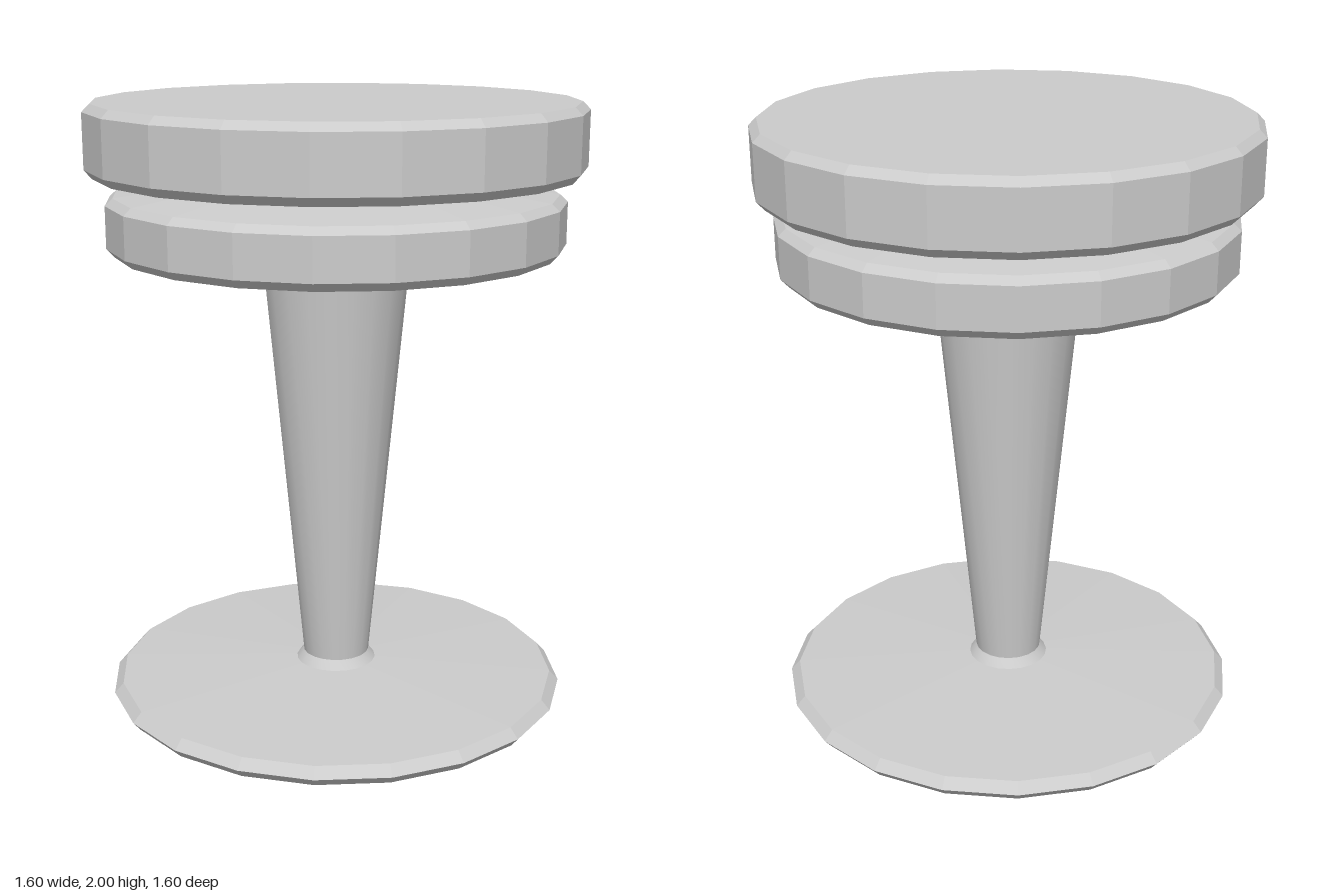
import * as THREE from 'three';
import { toCreasedNormals } from 'three/addons/utils/BufferGeometryUtils.js';

const SIDES = 20;
const CREASE = 0.45;

// Turned part from a bottom-to-top profile of [radius, height] pairs
function turned(name, profile, flat) {
  const points = profile.map(([r, y]) => new THREE.Vector2(r, y));
  const geometry = toCreasedNormals(new THREE.LatheGeometry(points, SIDES), CREASE);
  const material = new THREE.MeshStandardMaterial({ color: 0xcccccc, flatShading: flat });
  const mesh = new THREE.Mesh(geometry, material);
  mesh.name = name;
  return mesh;
}

export function createModel() {
  const model = new THREE.Group();
  model.name = 'pedestalStool';

  model.add(
    // Thin foot with a bevelled rim and a gently sloping top
    turned('base', [[0, 0], [0.745, 0], [0.77, 0.03], [0.74, 0.062], [0.135, 0.092]], true),

    // Tapered column flaring into the foot and the seat
    turned('column', [[0.135, 0.092], [0.112, 0.122], [0.235, 1.43], [0.262, 1.46]], false),

    // Lower seat ring with shallow conical underside and top
    turned('seatSupport', [
      [0.262, 1.46], [0.715, 1.523], [0.74, 1.55], [0.74, 1.685], [0.715, 1.708], [0.46, 1.743],
    ], true),

    // Cushion, wider than the ring, with bevelled edges
    turned('cushion', [
      [0.46, 1.743], [0.775, 1.77], [0.8, 1.798], [0.8, 1.975], [0.775, 2], [0, 2],
    ], true),
  );
  return model;
}
